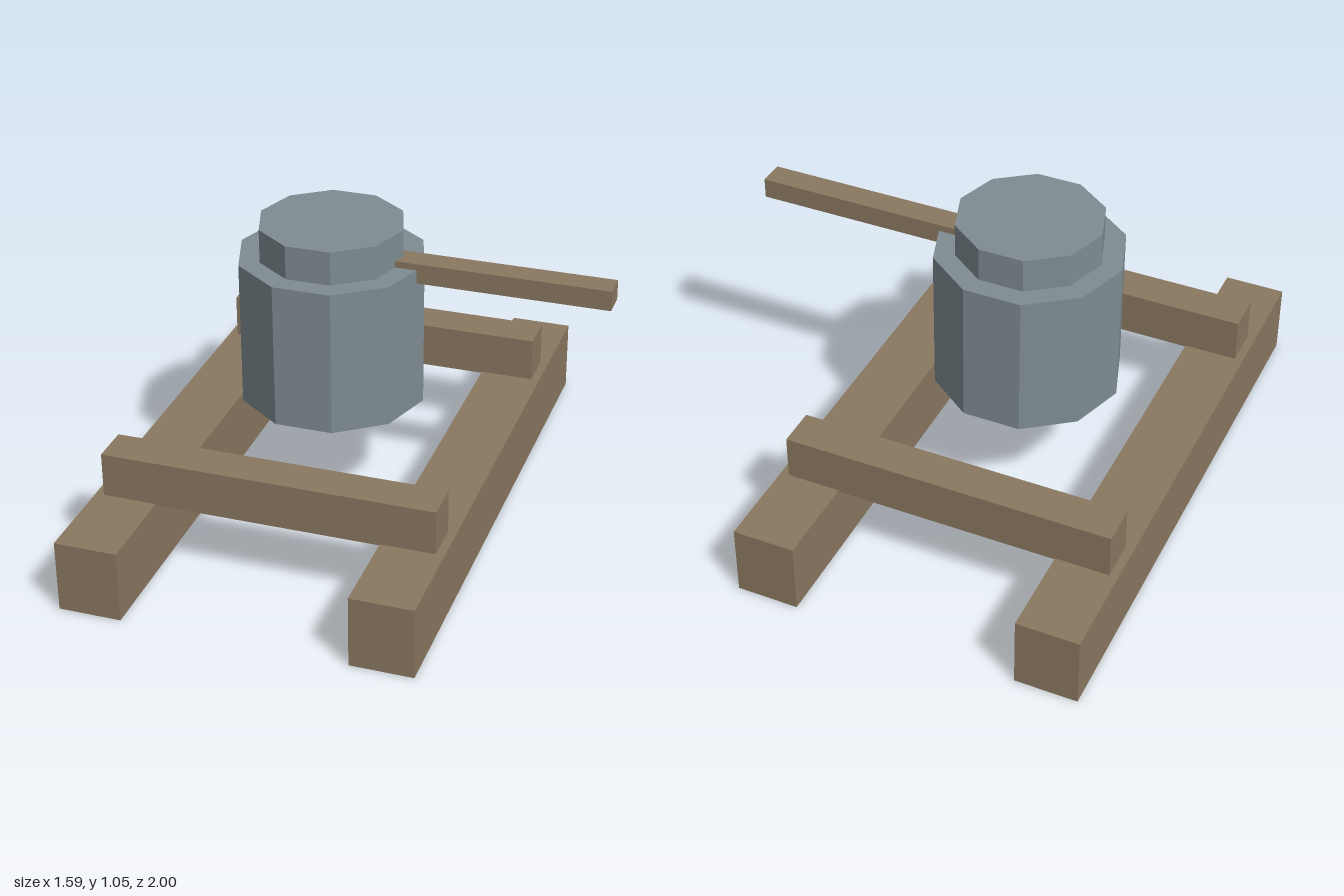
import * as THREE from 'three';

export function createModel() {
  const model = new THREE.Group();
  model.name = 'drumOnFrame';

  const wood = new THREE.MeshStandardMaterial({ color: 0x8a7860 });
  wood.name = 'wood';
  const metal = new THREE.MeshStandardMaterial({ color: 0x7f8c92 });
  metal.name = 'greyMetal';
  // faceted look for the ten-sided drum
  metal.flatShading = true;

  const add = (name, geometry, material, x, y, z) => {
    const mesh = new THREE.Mesh(geometry, material);
    mesh.name = name;
    mesh.position.set(x, y, z);
    model.add(mesh);
    return mesh;
  };
  // box given by its extents on each axis
  const beam = (name, [x0, x1], [y0, y1], [z0, z1]) =>
    add(name, new THREE.BoxGeometry(x1 - x0, y1 - y0, z1 - z0), wood,
      (x0 + x1) / 2, (y0 + y1) / 2, (z0 + z1) / 2);
  // ten-sided prism with corners pointing along x
  const prism = (name, radius, y0, y1) => {
    const geometry = new THREE.CylinderGeometry(radius, radius, y1 - y0, 10);
    geometry.rotateY(Math.PI / 2);
    return add(name, geometry, metal, -0.185, (y0 + y1) / 2, 0);
  };

  // long ground runners
  beam('rightRunner', [-0.795, -0.577], [0, 0.255], [-1, 1]);
  beam('leftRunner', [0.207, 0.425], [0, 0.255], [-1, 1]);

  // cross beams resting on the runners
  beam('frontCrossBeam', [-0.765, 0.395], [0.25, 0.412], [0.54, 0.68]);
  beam('backCrossBeam', [-0.765, 0.395], [0.25, 0.412], [-0.68, -0.54]);

  // drum, its cap and the turning handle
  prism('drum', 0.328, 0.412, 0.93);
  prism('drumCap', 0.254, 0.93, 1.05);
  beam('handle', [0.05, 0.793], [0.882, 0.953], [-0.045, 0.045]);

  return model;
}
